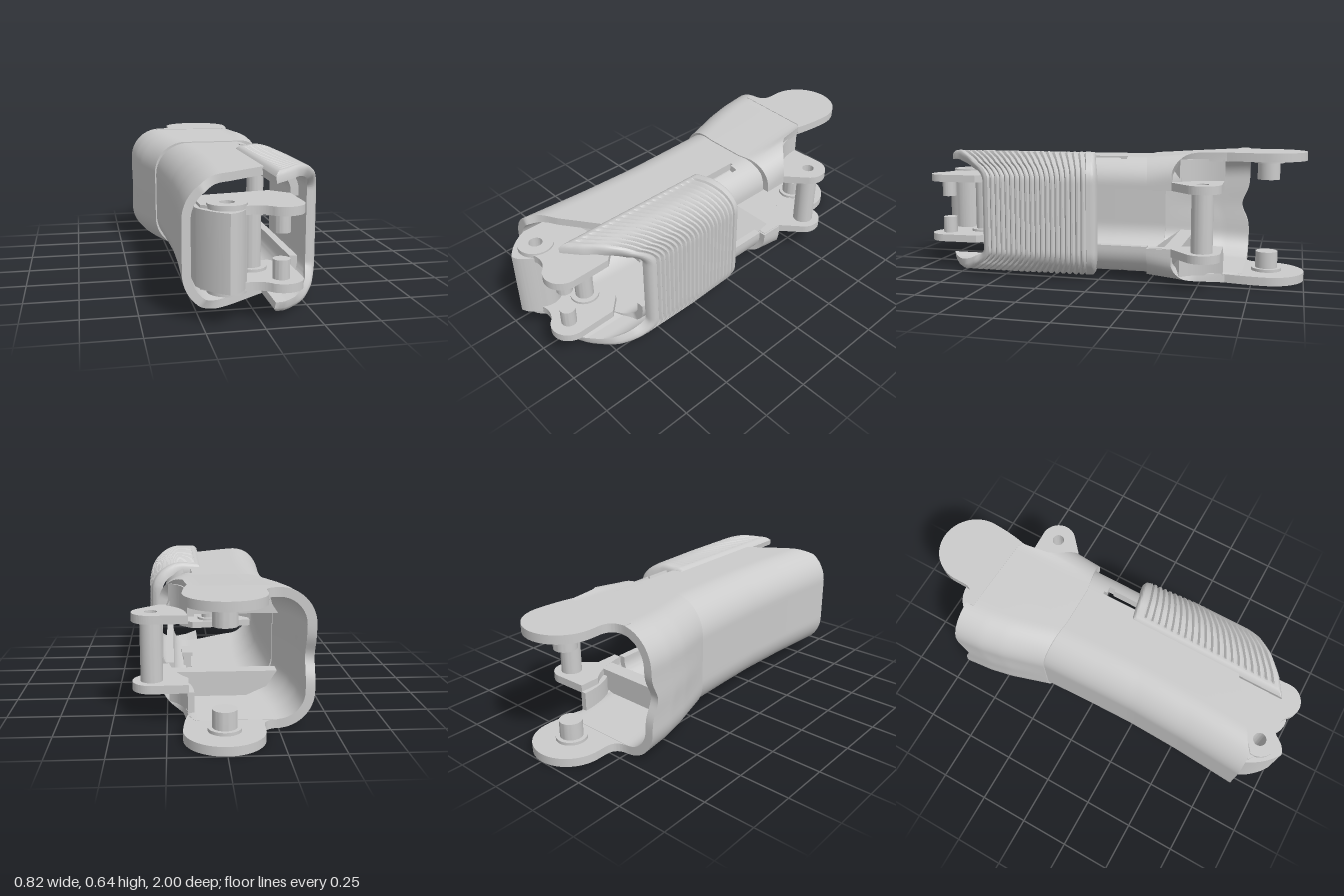
import * as THREE from 'three';
import { toCreasedNormals } from 'three/addons/utils/BufferGeometryUtils.js';

const MID = 0.3225; // height of the mirror plane between top and bottom
const material = new THREE.MeshStandardMaterial({ color: 0xcccccc });

// piecewise linear lookup in a list of [x, value]
function table(x, rows) {
  if (x <= rows[0][0]) return rows[0][1];
  for (let i = 1; i < rows.length; i++) {
    const [x0, v0] = rows[i - 1], [x1, v1] = rows[i];
    if (x <= x1) return v0 + (v1 - v0) * (x - x0) / (x1 - x0);
  }
  return rows[rows.length - 1][1];
}

function mesh(group, name, geometry) {
  const m = new THREE.Mesh(geometry, material);
  m.name = name;
  group.add(m);
}

// open C section: lip, right corner, top, left wall, bottom, right corner, lip
function cSection(xl, xr, h, rl, rr, lip) {
  const p = new THREE.Path();
  p.moveTo(xr, lip);
  p.lineTo(xr, h - rr);
  p.absarc(xr - rr, h - rr, rr, 0, Math.PI / 2, false);
  p.lineTo(xl + rl, h);
  p.absarc(xl + rl, h - rl, rl, Math.PI / 2, Math.PI, false);
  p.lineTo(xl, rl - h);
  p.absarc(xl + rl, rl - h, rl, Math.PI, Math.PI * 1.5, false);
  p.lineTo(xr - rr, -h);
  p.absarc(xr - rr, rr - h, rr, -Math.PI / 2, 0, false);
  p.lineTo(xr, -lip);
  return p;
}

// section of the grip pad, open towards -x
function padSection(x0, xr, h, r) {
  const p = new THREE.Path();
  p.moveTo(x0, -h + 0.012);
  p.lineTo(x0 + 0.06, -h);
  p.absellipse(xr - r, r * 0.9 - h, r, r * 0.9, -Math.PI / 2, 0, false, 0);
  p.lineTo(xr, h - r * 0.9);
  p.absellipse(xr - r, h - r * 0.9, r, r * 0.9, 0, Math.PI / 2, false, 0);
  p.lineTo(x0, h - 0.012);
  return p;
}

// thick sheet lofted along z; cells where hole(x, z) is true are left out
function thickSheet({ nu, nv, section, z0, z1, thickness, relief = () => 0, hole = () => false }) {
  const outer = [], inner = [], pos = [];
  for (let j = 0; j <= nv; j++) {
    const t = j / nv, pts = section(t).getSpacedPoints(nu);
    outer.push([]);
    inner.push([]);
    pts.forEach((p, i) => {
      const a = pts[Math.max(i - 1, 0)], b = pts[Math.min(i + 1, nu)];
      const n = new THREE.Vector2(b.y - a.y, a.x - b.x).normalize();
      const z = THREE.MathUtils.lerp(z0(p.x, p.y), z1(p.x, p.y), t);
      const r = relief(i / nu, t, p.x, j);
      outer[j].push([p.x + n.x * r, MID + p.y + n.y * r, z]);
      inner[j].push([p.x - n.x * thickness, MID + p.y - n.y * thickness, z]);
    });
  }
  const quad = (a, b, c, d) => pos.push(...a, ...b, ...c, ...a, ...c, ...d);
  const solid = (i, j) => {
    if (i < 0 || j < 0 || i >= nu || j >= nv) return false;
    const a = outer[j][i], c = outer[j + 1][i + 1];
    return !hole((a[0] + c[0]) / 2, (a[2] + c[2]) / 2);
  };
  for (let j = 0; j < nv; j++) for (let i = 0; i < nu; i++) {
    if (!solid(i, j)) continue;
    const c = [[i, j], [i + 1, j], [i + 1, j + 1], [i, j + 1]];
    const o = c.map(([u, v]) => outer[v][u]), n = c.map(([u, v]) => inner[v][u]);
    quad(...o);
    quad(n[3], n[2], n[1], n[0]);
    [[0, -1], [1, 0], [0, 1], [-1, 0]].forEach(([du, dv], k) => {
      const l = (k + 1) % 4;
      if (!solid(i + du, j + dv)) quad(o[l], o[k], n[k], n[l]);
    });
  }
  const g = new THREE.BufferGeometry();
  g.setAttribute('position', new THREE.Float32BufferAttribute(pos, 3));
  return toCreasedNormals(g, 0.6);
}

// flat plate from an outline in (x, z), between two heights
function plate(shape, y0, y1) {
  const g = new THREE.ExtrudeGeometry(shape, { depth: y1 - y0, bevelEnabled: false, curveSegments: 20 });
  g.rotateX(Math.PI / 2).translate(0, y1, 0);
  return toCreasedNormals(g, 0.6);
}

const polygon = points => new THREE.Shape(points.map(p => new THREE.Vector2(...p)));
const disc = (x, z, r) => new THREE.Shape().absarc(x, z, r, 0, Math.PI * 2, false);

function addHole(shape, x, z, r) {
  shape.holes.push(new THREE.Path().absarc(x, z, r, 0, Math.PI * 2, true));
  return shape;
}

// the same plate above and below the mirror plane
function platePair(group, name, shape, y0, y1) {
  mesh(group, name + 'Upper', plate(shape, y0, y1));
  mesh(group, name + 'Lower', plate(shape, 2 * MID - y1, 2 * MID - y0));
}

// cross block inside the shell, its front sloping back towards the middle
function crossBlock(side) {
  const outline = [[0.25, 0.143], [0.25, 0.18], [0.21, 0.245], [0.14, 0.265], [-0.13, 0.265], [-0.23, 0.22], [-0.28, 0.143]];
  const g = new THREE.ExtrudeGeometry(polygon(outline.map(([x, y]) => [x, y * side])), { depth: 0.25, bevelEnabled: false });
  const p = g.attributes.position;
  for (let i = 0; i < p.count; i++) {
    const slope = p.getZ(i) > 0 ? 1.4 * (0.265 - Math.abs(p.getY(i))) : 0;
    p.setXYZ(i, p.getX(i), p.getY(i) + MID, p.getZ(i) - 0.41 - slope);
  }
  return toCreasedNormals(g, 0.6);
}

export function createModel() {
  const model = new THREE.Group();
  model.name = 'fingerSegment';

  // main shell, with a slot above and below for the grip clips
  const shellLeft = [[0, -0.312], [0.25, -0.302], [0.45, -0.297], [0.7, -0.305], [1, -0.326]];
  mesh(model, 'shell', thickSheet({
    nu: 130, nv: 56, thickness: 0.038,
    section: t => cSection(table(t, shellLeft), 0.255, 0.293, 0.18, 0.13, 0.1425),
    z0: () => -0.245,
    z1: x => table(x, [[-0.25, 0.86], [-0.2, 0.82], [-0.1, 0.765], [0.06, 0.65], [0.2, 0.58]]),
    hole: (x, z) => x > 0.118 && x < 0.168 && z > -0.13 && z < 0.2
  }));
  mesh(model, 'crossBlockUpper', crossBlock(1));
  mesh(model, 'crossBlockLower', crossBlock(-1));

  // flared collar at the rear
  const collarLeft = [[0, -0.412], [0.3, -0.4], [0.55, -0.378], [0.8, -0.345], [1, -0.318]];
  const collarRear = [[0.13, -0.7], [0.155, -0.62], [0.165, -0.5], [0.2, -0.44], [0.28, -0.37]];
  mesh(model, 'collar', thickSheet({
    nu: 110, nv: 24, thickness: 0.043,
    section: t => cSection(table(t, collarLeft), 0.285, 0.3225 - 0.024 * t, 0.17, 0.13, 0.145),
    z0: (x, y) => table(x, collarRear) + (x < -0.3 ? 0.04 * Math.exp(-((y / 0.07) ** 2)) : 0),
    z1: x => table(x, [[-0.32, -0.24], [-0.1, -0.215], [0.1, -0.215], [0.28, -0.25]])
  }));

  // rear hinge ears with pegs
  const ear = new THREE.Shape();
  ear.moveTo(-0.26, -0.66);
  ear.lineTo(-0.26, -0.7);
  ear.quadraticCurveTo(-0.18, -0.7, -0.18, -0.77);
  ear.absarc(0, -0.82, 0.18, Math.PI, Math.PI * 2, false);
  ear.quadraticCurveTo(0.178, -0.72, 0.155, -0.62);
  ear.lineTo(0.13, -0.64);
  platePair(model, 'rearEar', ear, 0.603, 0.645);
  platePair(model, 'rearPegCollar', disc(0, -0.815, 0.075), 0.588, 0.606);
  platePair(model, 'rearPeg', disc(0, -0.815, 0.055), 0.505, 0.606);

  // side lug: two plates joined by a hollow post
  const lug = new THREE.Shape();
  lug.moveTo(0.15, -0.61);
  lug.lineTo(0.3, -0.614);
  lug.absarc(0.319, -0.525, 0.09, -Math.PI / 2, 0.9, false);
  lug.lineTo(0.28, -0.37);
  lug.lineTo(0.275, -0.26);
  lug.lineTo(0.24, -0.26);
  lug.quadraticCurveTo(0.22, -0.42, 0.15, -0.5);
  platePair(model, 'lugPlate', addHole(lug, 0.319, -0.525, 0.03), 0.465, 0.505);
  mesh(model, 'lugPost', plate(addHole(disc(0.319, -0.525, 0.052), 0.319, -0.525, 0.03), 0.17, 0.475));

  // curved webs carrying the lug plates up to the collar
  const web = new THREE.Shape();
  web.moveTo(0.125, -0.61);
  web.lineTo(0.155, -0.61);
  web.quadraticCurveTo(0.155, -0.47, 0.24, -0.405);
  web.lineTo(0.215, -0.37);
  web.quadraticCurveTo(0.125, -0.45, 0.125, -0.61);
  platePair(model, 'lugWeb', web, 0.5, 0.612);

  // ribbed grip pad
  const ribs = 22, steps = 6;
  mesh(model, 'gripPad', thickSheet({
    nu: 84, nv: ribs * steps, thickness: 0.04,
    section: t => padSection(0.065, table(t, [[0, 0.312], [0.08, 0.325], [0.5, 0.337], [0.95, 0.337], [1, 0.33]]), 0.308, 0.15),
    z0: x => table(x, [[0.06, 0.055], [0.2, 0.03], [0.31, 0]]),
    z1: x => table(x, [[0.06, 0.88], [0.15, 0.82], [0.24, 0.74], [0.3, 0.66], [0.335, 0.58]]),
    relief: (u, t, x, j) => {
      const edge = Math.min(u * 40, (1 - u) * 40, t * 40, (1 - t) * 40, 1);
      const ribbed = x > 0.11 && t > 0.07 && t < 0.95;
      const groove = ribbed ? [0, 0, 0, 0.005, 0.011, 0.005][j % steps] : 0;
      return 0.008 - 0.02 * (1 - edge) ** 2 - groove;
    }
  }));

  // clips that hold the pad in the shell slots
  const rect = (x0, x1, z0, z1) => polygon([[x0, z0], [x1, z0], [x1, z1], [x0, z1]]);
  platePair(model, 'clipStem', rect(0.125, 0.165, 0.06, 0.19), 0.515, 0.6);
  platePair(model, 'clipHead', rect(0.115, 0.173, 0.06, 0.19), 0.5, 0.522);

  // front knuckle barrel with a pin hole
  const barrel = new THREE.Shape();
  barrel.moveTo(-0.27, 0.72);
  barrel.lineTo(-0.2, 0.79);
  barrel.absarc(-0.14, 0.875, 0.085, -Math.PI / 2, 0.6, false);
  barrel.quadraticCurveTo(-0.1, 0.99, -0.15, 1);
  barrel.quadraticCurveTo(-0.23, 0.95, -0.27, 0.86);
  mesh(model, 'knuckleBarrel', plate(addHole(barrel, -0.14, 0.875, 0.032), 0.155, 0.49));
  platePair(model, 'knuckleBoss', addHole(disc(-0.14, 0.875, 0.085), -0.14, 0.875, 0.032), 0.485, 0.512);

  // front ears with pegs
  const frontEar = new THREE.Shape();
  frontEar.moveTo(-0.26, 0.68);
  frontEar.lineTo(0.1, 0.62);
  frontEar.lineTo(0.18, 0.7);
  frontEar.lineTo(0.185, 0.89);
  frontEar.absarc(0.095, 0.89, 0.09, 0, 2.2, false);
  frontEar.quadraticCurveTo(0.0, 0.915, -0.06, 0.925);
  frontEar.lineTo(-0.14, 0.95);
  frontEar.lineTo(-0.25, 0.87);
  platePair(model, 'frontEar', addHole(frontEar, -0.14, 0.875, 0.032), 0.465, 0.503);
  platePair(model, 'frontPeg', disc(0.09, 0.89, 0.037), 0.38, 0.47);

  // post between the front ears
  mesh(model, 'innerPost', plate(disc(-0.005, 0.73, 0.045), 0.17, 0.475));
  platePair(model, 'innerPostCollar', disc(-0.005, 0.73, 0.07), 0.452, 0.468);

  return model;
}
